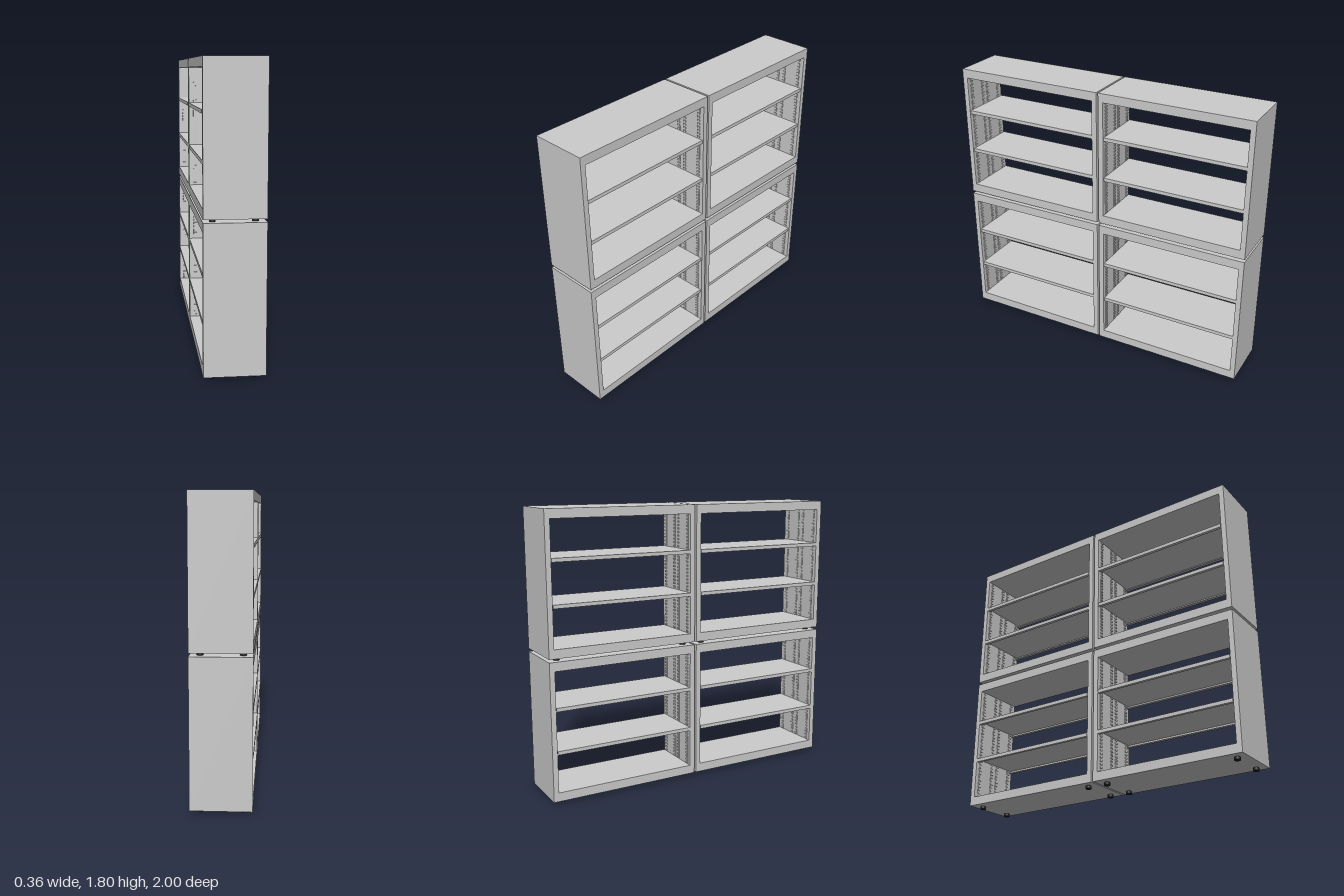
import * as THREE from 'three';

const metal = new THREE.MeshStandardMaterial({ color: 0xcccccc });
const rubber = new THREE.MeshStandardMaterial({ color: 0x222222 });

const UNIT = { length: 0.994, height: 0.878, depth: 0.356 };
const FOOT_H = 0.022, PITCH_Y = 0.897, PITCH_Z = 0.503;
const WALL = 0.033, RAIL = 0.057; // end wall and top/bottom thickness
const HALF = UNIT.length / 2 - WALL; // half of the inner length

// Extrude a (z, y) outline along x, centred on x = 0
function extrudeAlongX(shape, width) {
  const geo = new THREE.ExtrudeGeometry(shape, { depth: width, bevelEnabled: false });
  return geo.translate(0, 0, -width / 2).rotateY(-Math.PI / 2);
}

function polygon(points) {
  return new THREE.Shape(points.map(([a, b]) => new THREE.Vector2(a, b)));
}

function rect(z0, y0, z1, y1) {
  return polygon([[z0, y0], [z1, y0], [z1, y1], [z0, y1]]);
}

// Open-sided case: a rectangular frame running through the whole depth
function caseGeometry() {
  const frame = rect(-UNIT.length / 2, 0, UNIT.length / 2, UNIT.height);
  frame.holes.push(rect(-HALF, RAIL, HALF, UNIT.height - RAIL));
  return extrudeAlongX(frame, UNIT.depth);
}

// Shelf support strip: thin plate with a row of teeth facing +z
function stripGeometry() {
  const height = UNIT.height - 2 * RAIL, count = 34, step = height / count;
  const points = [[0, height], [0, 0]];
  for (let i = 0; i < count; i++) {
    const a = (i + 0.25) * step, b = (i + 0.75) * step;
    points.push([0.0015, a], [0.006, a], [0.006, b], [0.0015, b]);
  }
  return extrudeAlongX(polygon(points), 0.02);
}

// Folded sheet shelf: top plate, lips on both long edges, short return flanges
function shelfGeometry() {
  const h = 0.352 / 2, t = 0.004, drop = 0.023, fold = 0.02;
  const section = polygon([
    [-h, 0], [-h, -drop], [-h + fold, -drop], [-h + fold, -drop + t], [-h + t, -drop + t], [-h + t, -t],
    [h - t, -t], [h - t, -drop + t], [h - fold, -drop + t], [h - fold, -drop], [h, -drop], [h, 0],
  ]);
  const length = 2 * HALF - 0.004;
  const geo = new THREE.ExtrudeGeometry(section, { depth: length, bevelEnabled: false });
  return geo.translate(-0.004, 0, -length / 2);
}

// Round rubber foot with a slight taper
function footGeometry() {
  const profile = [[0, 0], [0.016, 0], [0.019, 0.003], [0.019, 0.016], [0.016, 0.018], [0.016, FOOT_H], [0, FOOT_H]];
  return new THREE.LatheGeometry(profile.map(([r, y]) => new THREE.Vector2(r, y)), 24);
}

export function createModel() {
  const model = new THREE.Group();
  model.name = 'shelving';
  const geo = { frame: caseGeometry(), strip: stripGeometry(), shelf: shelfGeometry(), foot: footGeometry() };

  function add(parent, name, geometry, material, x, y, z) {
    const mesh = new THREE.Mesh(geometry, material);
    mesh.name = name;
    mesh.position.set(x, y, z);
    parent.add(mesh);
    return mesh;
  }

  function createUnit() {
    const unit = new THREE.Group();
    unit.name = 'bookcase';
    add(unit, 'case', geo.frame, metal, 0, FOOT_H, 0);

    for (const top of [0.345, 0.617]) add(unit, 'shelf', geo.shelf, metal, 0, top, 0);

    // Four toothed strips on each end wall, two for each open side
    for (const x of [-0.14, -0.025, 0.025, 0.14]) {
      for (const side of [-1, 1]) {
        const strip = add(unit, 'supportStrip', geo.strip, metal, x, FOOT_H + RAIL, side * HALF);
        if (side > 0) strip.rotation.y = Math.PI;
      }
    }

    for (const x of [-0.121, 0.119]) {
      for (const z of [-0.43, 0.438]) add(unit, 'foot', geo.foot, rubber, x, 0, z);
    }
    return unit;
  }

  // Two units side by side, stacked two high
  for (const level of [0, 1]) {
    for (const side of [-1, 1]) {
      const unit = createUnit();
      unit.position.set(0, level * PITCH_Y, side * PITCH_Z);
      model.add(unit);
    }
  }
  return model;
}
